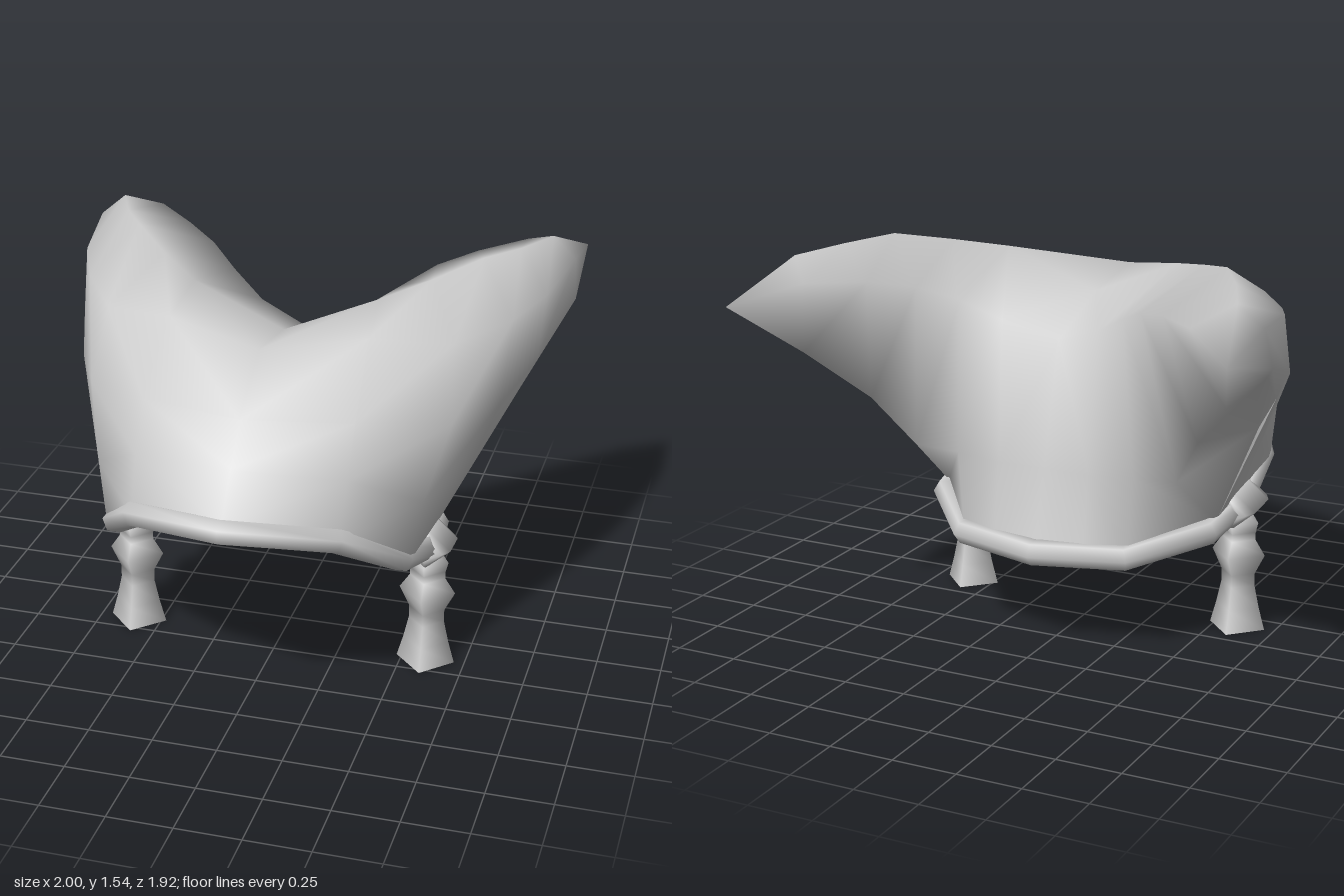
import * as THREE from 'three';
import { mergeVertices } from 'three/addons/utils/BufferGeometryUtils.js';

const grey = new THREE.MeshStandardMaterial({ color: 0xcccccc, side: THREE.DoubleSide });

function part(geometry, name) {
  const mesh = new THREE.Mesh(geometry, grey);
  mesh.name = name;
  return mesh;
}

// Cross-sections from the middle out to one horn tip; each runs from the
// front rim over the top to the back rim. Horn sections are closed loops.
const TIP = [0.985, 1.37, -0.96];
const middle = [[0, 0.88, 0.91], [0, 1.05, 0.79], [0, 1.19, 0.67], [0, 1.36, 0.42],
  [0, 1.31, 0.1], [0, 1.19, -0.23], [0, 0.72, -0.35], [0, 0.43, -0.43]];
const brow = [[0.39, 0.8, 0.76], [0.4, 1.0, 0.67], [0.4, 1.18, 0.57], [0.38, 1.4, 0.3],
  [0.36, 1.46, 0.07], [0.2, 1.26, -0.29], [0.19, 0.72, -0.36], [0.19, 0.43, -0.4]];
const temple = [[0.59, 0.6, 0.49], [0.63, 0.84, 0.45], [0.7, 1.1, 0.31], [0.67, 1.36, 0.18],
  [0.53, 1.5, -0.08], [0.34, 1.34, -0.38], [0.37, 0.73, -0.35], [0.35, 0.43, -0.35]];
const hornRoot = [[0.585, 0.5, -0.05], [0.71, 0.78, 0.06], [0.83, 1.09, 0.05], [0.84, 1.37, -0.08],
  [0.69, 1.54, -0.25], [0.46, 1.4, -0.49], [0.55, 0.74, -0.36], [0.585, 0.5, -0.05]];
const hornMid = [[0.78, 0.92, -0.13], [0.86, 1.05, -0.17], [0.92, 1.17, -0.21], [0.93, 1.4, -0.29],
  [0.8, 1.525, -0.43], [0.6, 1.43, -0.61], [0.68, 0.94, -0.47], [0.78, 0.92, -0.13]];
const hornEnd = [[0.92, 1.19, -0.52], [0.97, 1.24, -0.55], [1, 1.28, -0.58], [0.985, 1.43, -0.62],
  [0.89, 1.51, -0.64], [0.77, 1.44, -0.77], [0.86, 1.14, -0.65], [0.92, 1.19, -0.52]];

// Skin over the sections, with the quad diagonals mirrored about the middle
function loft(sections) {
  const rows = sections[0].length;
  const index = [];
  for (let u = 0; u < sections.length - 1; u++) {
    for (let v = 0; v < rows - 1; v++) {
      const a = u * rows + v, b = a + rows;
      if (u < (sections.length - 1) / 2) index.push(a, b, a + 1, b, b + 1, a + 1);
      else index.push(a, b, b + 1, a, b + 1, a + 1);
    }
  }
  const geometry = new THREE.BufferGeometry();
  geometry.setAttribute('position', new THREE.Float32BufferAttribute(sections.flat(2), 3));
  geometry.setIndex(index);
  const merged = mergeVertices(geometry, 1e-4);
  merged.computeVertexNormals();
  return merged;
}

const flip = ([x, y, z]) => [-x, y, z];

function makeCap() {
  const half = [brow, temple, hornRoot, hornMid, hornEnd, middle.map(() => TIP)];
  const mirrored = half.map((s) => s.map(flip)).reverse();
  return part(loft([...mirrored, middle, ...half]), 'hornedCap');
}

// Rolled rim around the opening, one tube ring per point
function makeRim() {
  const side = [[0.38, 0.8, 0.755], [0.56, 0.61, 0.48], [0.6, 0.52, 0.18],
    [0.57, 0.47, -0.1], [0.34, 0.415, -0.36]];
  const loop = [[0, 0.865, 0.92], ...side, [0, 0.41, -0.445], ...side.map(flip).reverse()];
  const curve = new THREE.CatmullRomCurve3(loop.map((p) => new THREE.Vector3(...p)), true);
  curve.getUtoTmapping = (u) => u;
  return part(new THREE.TubeGeometry(curve, loop.length, 0.05, 6, true), 'rim');
}

const lathe = (profile) =>
  new THREE.LatheGeometry(profile.map(([r, y]) => new THREE.Vector2(r, y)), 4);

// Four-sided knot around the rim with a hanging, flared tassel
function makeTassel(sign) {
  const group = new THREE.Group();
  group.name = sign > 0 ? 'leftTassel' : 'rightTassel';
  const cord = part(lathe([[0.115, 0], [0.09, 0.09], [0.07, 0.18], [0.07, 0.23],
    [0.11, 0.31], [0.07, 0.37], [0.07, 0.4], [0.08, 0.44], [0.04, 0.5]]), 'tassel');
  cord.position.set(sign * 0.595, 0, 0.16);
  const knot = part(lathe([[0.04, -0.11], [0.07, -0.11], [0.092, -0.07],
    [0.092, 0.07], [0.07, 0.11], [0.04, 0.11]]), 'knot');
  knot.position.set(sign * 0.6, 0.515, 0.15);
  knot.rotation.x = Math.PI / 2 - 0.1;
  knot.scale.z = 0.85;
  group.add(cord, knot);
  return group;
}

export function createModel() {
  const model = new THREE.Group();
  model.name = 'hornedHat';
  model.add(makeCap(), makeRim(), makeTassel(1), makeTassel(-1));
  return model;
}
